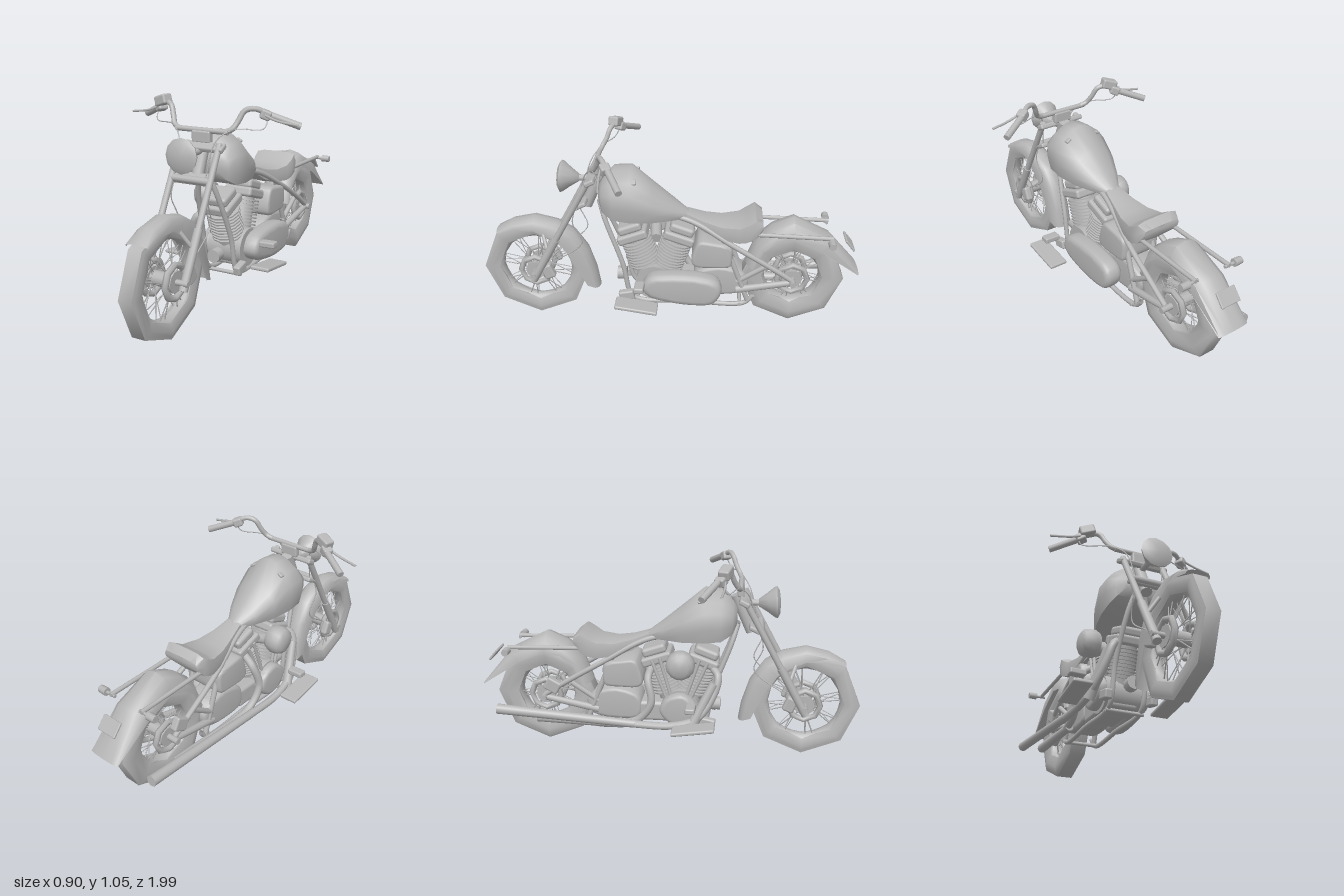
import * as THREE from 'three';
import { toCreasedNormals } from 'three/addons/utils/BufferGeometryUtils.js';
import { RoundedBoxGeometry } from 'three/addons/geometries/RoundedBoxGeometry.js';

const grey = new THREE.MeshStandardMaterial({ color: 0xb6b6b6, side: THREE.DoubleSide });
grey.name = 'plain grey';
const V = (a) => new THREE.Vector3(...a);

export function createModel() {
  const root = new THREE.Group();
  root.name = 'motorcycle';

  const add = (name, geo, pos = [0, 0, 0], rot = [0, 0, 0], parent = root) => {
    const m = new THREE.Mesh(geo, grey);
    m.name = name;
    m.position.set(...pos);
    m.rotation.set(...rot);
    parent.add(m);
    return m;
  };
  // straight bar between two points
  const rod = (name, a, b, r, r2 = r, seg = 10, parent = root) => {
    const d = V(b).sub(V(a));
    const m = add(name, new THREE.CylinderGeometry(r2, r, d.length(), seg), [0, 0, 0], [0, 0, 0], parent);
    m.position.copy(V(a).addScaledVector(d, 0.5));
    m.quaternion.setFromUnitVectors(V([0, 1, 0]), d.normalize());
    return m;
  };
  const tube = (name, pts, r, seg = 8) =>
    add(name, new THREE.TubeGeometry(new THREE.CatmullRomCurve3(pts.map(V), false, 'centripetal'), pts.length * 6, r, seg));
  const box = (name, size, pos, rot, r = 0.01) => add(name, new RoundedBoxGeometry(...size, 2, r), pos, rot);
  const turned = (pts, seg, crease = 0.9) =>
    toCreasedNormals(new THREE.LatheGeometry(pts.map((p) => new THREE.Vector2(...p)), seg), crease);
  // skin over rows of points
  const skin = (rows, closed, crease = 0.9) => {
    const n = rows[0].length, idx = [];
    for (let i = 0; i < rows.length - 1; i++) {
      for (let j = 0; j < (closed ? n : n - 1); j++) {
        const k = (j + 1) % n, a = i * n + j, b = i * n + k;
        idx.push(a, a + n, b, b, a + n, b + n);
      }
    }
    const g = new THREE.BufferGeometry();
    g.setAttribute('position', new THREE.Float32BufferAttribute(rows.flat(2), 3));
    g.setIndex(idx);
    return toCreasedNormals(g, crease);
  };
  // sections [z, halfWidth, bottom, top] carrying a unit half outline
  const loft = (secs, half) => {
    const ring = [...half, ...half.slice(1, -1).reverse().map(([x, y]) => [-x, y])];
    const rows = secs.map(([z, w, lo, hi]) => ring.map(([x, y]) => [x * w, lo + y * (hi - lo), z]));
    const cap = ([z, , lo, hi]) => ring.map(() => [0, (lo + hi) / 2, z]);
    return skin([cap(secs[0]), ...rows, cap(secs.at(-1))], true);
  };
  // rounded side outline [z, y] given a thickness along x
  const casing = (name, pts, x, w, bevel) => {
    const c = new THREE.CatmullRomCurve3(pts.map(([z, y]) => V([-z, y, 0])), true);
    const shape = new THREE.Shape(c.getPoints(32).slice(0, -1).map((p) => new THREE.Vector2(p.x, p.y)));
    const g = new THREE.ExtrudeGeometry(shape, { depth: w - 2 * bevel, bevelSize: bevel, bevelThickness: bevel, bevelOffset: -bevel, bevelSegments: 3 });
    return add(name, toCreasedNormals(g, 0.8), [x + bevel, 0, 0], [0, Math.PI / 2, 0]);
  };

  // wheels: coarse tyre, rim, hub, brake disc and spokes
  const wheel = (name, y, z, R, rin, w, tread) => {
    const g = new THREE.Group();
    g.name = name;
    g.position.set(0, y, z);
    root.add(g);
    const side = [0, 0, Math.PI / 2], mid = (R + rin) / 2;
    add('tyre', turned([[rin, -w * 0.7], [mid, -w], [R * 0.95, -w * 0.85], [R, -tread], [R, tread], [R * 0.95, w * 0.85], [mid, w], [rin, w * 0.7], [rin, -w * 0.7]], 8), [0, 0, 0], side, g);
    add('rim', turned([[rin, -w * 0.7], [rin * 0.93, -w * 0.5], [rin * 0.9, 0], [rin * 0.93, w * 0.5], [rin, w * 0.7]], 16), [0, 0, 0], side, g);
    add('hub', new THREE.CylinderGeometry(0.035, 0.035, 0.13, 12), [0, 0, 0], side, g);
    for (const s of [1, -1]) {
      add('brakeDisc', new THREE.TorusGeometry(0.08, 0.016, 6, 8), [s * 0.06, 0, 0], [0, Math.PI / 2, 0], g);
      add('hubCap', new THREE.CylinderGeometry(0.052, 0.052, 0.012, 10), [s * 0.062, 0, 0], side, g);
      for (let i = 0; i < 16; i++) {
        const a = (i / 16) * Math.PI * 2, b = a + (i % 2 ? 0.3 : -0.3);
        rod('spoke', [s * 0.045, 0.035 * Math.cos(a), 0.035 * Math.sin(a)], [s * 0.01, rin * 0.93 * Math.cos(b), rin * 0.93 * Math.sin(b)], 0.0028, 0.0028, 4, g);
      }
    }
  };
  wheel('frontWheel', 0.285, 0.715, 0.285, 0.205, 0.045, 0.035);
  wheel('rearWheel', 0.287, -0.648, 0.27, 0.16, 0.06, 0.042);

  // fenders: path rows [z, y, skirt depth, crown] around a wheel centre
  const fender = (name, path, cy, cz, w) => {
    const rows = path.map(([z, y, d, crown]) => {
      const l = Math.hypot(cz - z, cy - y), dz = (cz - z) / l, dy = (cy - y) / l;
      return [[-1, d], [-0.95, crown * 2], [-0.6, crown * 0.6], [0, 0], [0.6, crown * 0.6], [0.95, crown * 2], [1, d]]
        .map(([x, k]) => [x * w, y + dy * k, z + dz * k]);
    });
    add(name, skin(rows, false));
  };
  fender('frontFender', [[0.915, 0.51, 0.025, 0.006], [0.83, 0.56, 0.045, 0.01], [0.71, 0.588, 0.07, 0.012], [0.59, 0.56, 0.09, 0.013], [0.5, 0.505, 0.1, 0.013], [0.43, 0.4, 0.1, 0.013], [0.39, 0.27, 0.09, 0.013], [0.375, 0.17, 0.07, 0.013]], 0.285, 0.715, 0.058);
  fender('rearFender', [[-0.4, 0.36, 0.04, 0.015], [-0.45, 0.5, 0.06, 0.018], [-0.53, 0.575, 0.07, 0.02], [-0.64, 0.625, 0.1, 0.024], [-0.83, 0.53, 0.08, 0.015], [-0.99, 0.34, 0.01, 0.003]], 0.287, -0.648, 0.088);
  box('licencePlate', [0.11, 0.075, 0.012], [0, 0.49, -0.93], [0.7, 0, 0], 0.005);

  // fuel tank and seat
  add('fuelTank', loft([[0.355, 0.075, 0.71, 0.79], [0.335, 0.12, 0.665, 0.825], [0.28, 0.15, 0.63, 0.88], [0.19, 0.15, 0.618, 0.885], [0.08, 0.128, 0.615, 0.79], [-0.02, 0.085, 0.615, 0.705], [-0.1, 0.035, 0.61, 0.643]],
    [[0, 1], [0.3, 0.96], [0.7, 0.8], [0.97, 0.6], [1, 0.3], [0.9, 0.03], [0.4, 0.03], [0, 0.03]]));
  add('seat', loft([[-0.09, 0.045, 0.6, 0.645], [-0.18, 0.065, 0.545, 0.615], [-0.27, 0.09, 0.515, 0.597], [-0.36, 0.112, 0.505, 0.605], [-0.4, 0.122, 0.515, 0.63], [-0.44, 0.123, 0.535, 0.655], [-0.478, 0.105, 0.585, 0.625]],
    [[0, 1], [0.6, 0.99], [0.93, 0.9], [1, 0.5], [0.95, 0.08], [0, 0]]));

  // engine: crankcase, two finned cylinders in a vee, covers
  add('crankcase', new THREE.CylinderGeometry(0.1, 0.1, 0.19, 20), [0, 0.25, 0.075], [0, 0, Math.PI / 2]);
  box('engineBase', [0.17, 0.11, 0.3], [0, 0.22, 0], [0, 0, 0], 0.02);
  for (const [name, tilt, z] of [['frontCylinder', 0.36, 0.1], ['rearCylinder', -0.33, 0.03]]) {
    const g = new THREE.Group();
    g.name = name;
    g.position.set(0, 0.265, z);
    g.rotation.x = tilt;
    root.add(g);
    add('barrel', new THREE.CylinderGeometry(0.06, 0.065, 0.22, 14), [0, 0.14, 0], [0, 0, 0], g);
    for (let i = 0; i < 9; i++) add('coolingFin', new THREE.CylinderGeometry(0.086, 0.086, 0.008, 12), [0, 0.07 + i * 0.018, 0], [0, 0, 0], g);
    add('cylinderHead', new RoundedBoxGeometry(0.16, 0.05, 0.165, 2, 0.015), [0, 0.255, 0], [0, 0, 0], g);
    add('rockerCover', new RoundedBoxGeometry(0.13, 0.05, 0.13, 2, 0.018), [0, 0.3, 0], [0, 0, 0], g);
    for (const dz of [-0.022, 0.022]) rod('pushrodTube', [-0.095, 0, dz * 0.5], [-0.08, 0.26, dz], 0.009, 0.009, 8, g);
  }
  add('airCleaner', turned([[0, 0.1], [0.045, 0.097], [0.066, 0.083], [0.074, 0.06], [0.074, 0.025], [0.06, 0], [0, 0]], 14), [-0.107, 0.512, 0.08], [0, 0, Math.PI / 2]);
  rod('intake', [-0.12, 0.5, 0.08], [0, 0.47, 0.07], 0.03);
  casing('primaryCover', [[0.135, 0.25], [0.1, 0.315], [0, 0.335], [-0.17, 0.33], [-0.26, 0.3], [-0.28, 0.24], [-0.24, 0.17], [-0.15, 0.155], [0, 0.17], [0.1, 0.2]], 0.07, 0.1, 0.03);
  casing('timingCover', [[0.17, 0.27], [0.09, 0.34], [0, 0.31], [-0.03, 0.24], [0.04, 0.17], [0.13, 0.19]], -0.14, 0.07, 0.02);
  casing('oilTank', [[-0.12, 0.39], [-0.135, 0.47], [-0.16, 0.51], [-0.24, 0.505], [-0.32, 0.485], [-0.33, 0.43], [-0.32, 0.37], [-0.24, 0.36], [-0.14, 0.365]], -0.11, 0.22, 0.015);
  casing('gearbox', [[-0.14, 0.3], [-0.25, 0.345], [-0.35, 0.33], [-0.42, 0.28], [-0.4, 0.2], [-0.25, 0.17], [-0.14, 0.19]], -0.09, 0.16, 0.02);

  // exhausts on one side
  tube('frontHeader', [[-0.06, 0.47, 0.24], [-0.1, 0.44, 0.27], [-0.13, 0.35, 0.25], [-0.165, 0.23, 0.17], [-0.18, 0.19, 0.05], [-0.18, 0.19, -0.2]], 0.02, 10);
  rod('longMuffler', [-0.18, 0.19, -0.15], [-0.185, 0.24, -0.88], 0.021, 0.027, 14);
  tube('rearHeader', [[-0.06, 0.46, -0.08], [-0.12, 0.42, -0.09], [-0.15, 0.3, -0.07], [-0.145, 0.2, -0.14], [-0.135, 0.165, -0.28]], 0.02, 10);
  rod('shortMuffler', [-0.135, 0.165, -0.22], [-0.13, 0.18, -0.68], 0.021, 0.026, 14);
  rod('exhaustShield', [-0.175, 0.185, 0.14], [-0.125, 0.41, 0.25], 0.028, 0.022);

  // headlamp and steering head
  add('headlamp', turned([[0, 0.572], [0.06, 0.566], [0.083, 0.553], [0.078, 0.54], [0.05, 0.505], [0.02, 0.462], [0, 0.455]], 12, 0.7), [0, 0.782, 0], [Math.PI / 2 - 0.06, 0, 0]);
  rod('steeringHead', [0, 0.85, 0.345], [0, 0.66, 0.43], 0.03);
  rod('headlampBracket', [0, 0.81, 0.38], [0, 0.81, 0.48], 0.016);
  box('upperYoke', [0.26, 0.028, 0.055], [0, 0.832, 0.39], [0.47, 0, 0]);
  rod('lowerYoke', [-0.11, 0.69, 0.475], [0.11, 0.69, 0.475], 0.018);
  box('lowerYokePlate', [0.2, 0.025, 0.07], [0, 0.69, 0.45], [0.47, 0, 0]);
  rod('handlebarCentre', [-0.14, 0.905, 0.37], [0.14, 0.905, 0.37], 0.013);
  box('barClamp', [0.1, 0.06, 0.035], [0, 0.875, 0.37]  , [0, 0, 0]);
  rod('frontAxle', [-0.13, 0.285, 0.715], [0.13, 0.285, 0.715], 0.014);
  rod('rearAxle', [-0.13, 0.287, -0.648], [0.13, 0.287, -0.648], 0.016);

  // paired parts
  for (const s of [1, -1]) {
    const m = (pts) => pts.map(([x, y, z]) => [s * x, y, z]);
    const bar = (name, a, b, r, r2) => rod(name, ...m([a, b]), r, r2);
    bar('forkTube', [0.105, 0.85, 0.39], [0.105, 0.46, 0.605], 0.016);
    bar('forkLeg', [0.105, 0.5, 0.583], [0.105, 0.25, 0.72], 0.021, 0.021);
    box('brakeCaliper', [0.04, 0.08, 0.06], [s * 0.09, 0.3, 0.64], [0.4, 0, 0], 0.012);
    bar('fenderBracket', [0.105, 0.42, 0.63], [0.055, 0.5, 0.66], 0.01);
    // handlebar, grip, lever and cable
    tube('handlebar', m([[0.12, 0.905, 0.37], [0.155, 0.92, 0.36], [0.175, 0.955, 0.34], [0.2, 1.003, 0.32], [0.245, 1.012, 0.3], [0.3, 0.982, 0.265], [0.34, 0.965, 0.245]]), 0.013);
    bar('grip', [0.3, 0.982, 0.265], [0.425, 0.93, 0.2], 0.017);
    tube('lever', m([[0.28, 0.99, 0.3], [0.35, 0.965, 0.3], [0.45, 0.95, 0.29]]), 0.006, 6);
    box('switchHousing', [0.05, 0.045, 0.05], [s * 0.285, 0.985, 0.28], [0, s * 0.5, s * -0.4]);
    tube('cable', m([[0.3, 0.975, 0.28], [0.29, 0.925, 0.31], [0.17, 0.92, 0.36], [0.1, 0.87, 0.41], [0.07, 0.7, 0.46]]), 0.003, 5);
    tube('brakeHose', m([[0.09, 0.69, 0.47], [0.1, 0.6, 0.49], [0.09, 0.48, 0.45], [0.09, 0.36, 0.6]]), 0.003, 5);
    box('tankCap', [0.03, 0.014, 0.08], [s * 0.09, 0.828, 0.2], [0.1, 0, s * -0.55], 0.005);
    // frame
    tube('downTube', m([[0.02, 0.7, 0.36], [0.05, 0.6, 0.33], [0.08, 0.35, 0.24], [0.085, 0.17, 0.2], [0.085, 0.14, 0.15], [0.085, 0.14, -0.1], [0.085, 0.14, -0.4], [0.085, 0.19, -0.45]]), 0.013);
    tube('topRail', m([[0.03, 0.65, 0.15], [0.05, 0.61, -0.1], [0.09, 0.49, -0.33], [0.1, 0.36, -0.55], [0.1, 0.3, -0.64]]), 0.014);
    bar('swingArm', [0.08, 0.22, -0.36], [0.1, 0.287, -0.65], 0.02, 0.016);
    bar('seatPost', [0.075, 0.52, -0.28], [0.085, 0.16, -0.42], 0.014);
    bar('rearStay', [0.08, 0.27, -0.36], [0.09, 0.37, -0.5], 0.014);
    bar('fenderStrut', [0.1, 0.565, -0.45], [0.1, 0.555, -0.83], 0.011);
    // turn signals, footboards and pedals
    bar('signalStalk', [0.08, 0.55, -0.82], [0.15, 0.55, -0.82], 0.008);
    bar('signalLamp', [0.135, 0.55, -0.82], [0.18, 0.55, -0.82], 0.02, 0.018);
    box('footboard', [0.1, 0.02, 0.22], [s * 0.25, 0.207, 0.155], [-0.15, 0, 0], 0.008);
    box('footPedal', [0.085, 0.03, 0.05], [s * 0.237, 0.312, 0.14], [0, 0, s * 0.03], 0.008);
    box('lowerBracket', [0.04, 0.05, 0.08], [s * 0.12, 0.19, 0.22], [0.2, 0, 0]);
  }

  // cross members, brake reservoir, rear caliper and regulator
  for (const z of [0.17, -0.38]) rod('crossMember', [-0.1, 0.135, z], [0.1, 0.135, z], 0.01);
  box('brakeReservoir', [0.08, 0.05, 0.055], [-0.26, 1.02, 0.3], [0, -0.3, 0.3]);
  box('rearCaliper', [0.04, 0.07, 0.08], [-0.095, 0.35, -0.6], [0.5, 0, 0]);
  rod('regulator', [0, 0.25, 0.23], [0, 0.25, 0.28], 0.035);
  return root;
}
